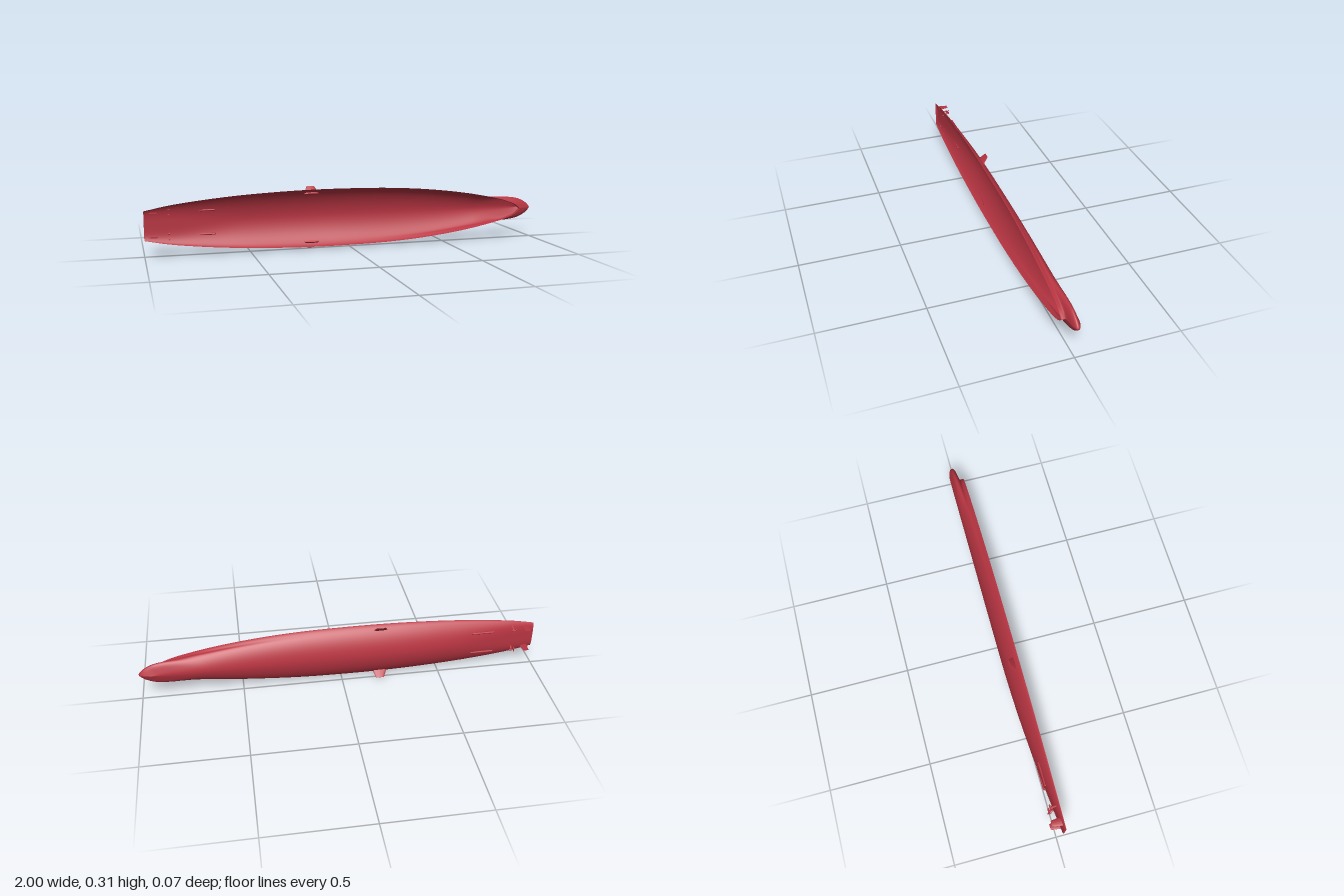
import * as THREE from 'three';

const MID = 0.156, DECK = 0.035;
const material = new THREE.MeshStandardMaterial({ color: 0xb83542, side: THREE.DoubleSide });

// Smooth 1D table lookup from [position, value] pairs
function table(pairs) {
  const f = new THREE.CubicInterpolant(pairs.map(p => p[0]), pairs.map(p => p[1]), 1);
  return x => f.evaluate(x)[0];
}
const halfBeam = table([[-1, 0.07], [-0.9, 0.09], [-0.8, 0.104], [-0.6, 0.124], [-0.4, 0.136], [-0.2, 0.142],
  [0, 0.142], [0.2, 0.137], [0.4, 0.123], [0.6, 0.098], [0.75, 0.07], [0.85, 0.044], [0.9, 0.022], [0.925, 0]]);
const keelZ = table([[-1, 0.024], [-0.9, 0.013], [-0.8, 0.002], [-0.7, -0.008], [-0.6, -0.017], [-0.4, -0.029],
  [-0.2, -0.035], [0, -0.036], [0.5, -0.036], [1, -0.036]]);
const bowX = table([[0, 0.925], [0.15, 0.925], [0.3, 0.93], [0.4, 0.973], [0.5, 0.993], [0.65, 1], [0.8, 0.992],
  [0.92, 0.97], [1, 0.94]]);

// Hull point: s runs stern to bow, a runs from one waterline over the keel to the other
function hullPoint(s, a) {
  const c = Math.max(0, Math.cos(a));
  const d = Math.pow(Math.abs(Math.sin(a)), 1.43);
  const x = -1 + s * (1 + bowX(d));
  const stern = 1 - THREE.MathUtils.smoothstep(x, -1, -0.5);
  let w = Math.max(0, halfBeam(-1 + s * 1.925)) * Math.pow(c, 1.1 - 0.55 * stern);
  const bulb = THREE.MathUtils.smoothstep(s, 0.84, 0.96) * Math.sqrt(Math.min(1, (1 - s) / 0.035));
  w += 0.024 * bulb * Math.exp(-(((d - 0.68) / 0.26) ** 2)) * Math.sqrt(Math.min(1, c * 2));
  return [x, w, DECK + (keelZ(x) - DECK) * d];
}

function hullGeometry() {
  const N = 120, M = 48, pos = [], idx = [];
  for (let i = 0; i <= N; i++) {
    const s = 1 - Math.pow(1 - i / N, 1.5);
    for (let j = 0; j <= M; j++) {
      const side = j <= M / 2 ? 1 : -1;
      const a = (1 - Math.abs(1 - 2 * j / M)) * Math.PI / 2;
      const [x, w, z] = hullPoint(s, a);
      pos.push(x, MID + side * w, z);
    }
  }
  for (let i = 0; i < N; i++) for (let j = 0; j < M; j++) {
    const p = i * (M + 1) + j, q = p + M + 1;
    idx.push(p, q, p + 1, q, q + 1, p + 1);
  }
  const g = new THREE.BufferGeometry();
  g.setAttribute('position', new THREE.Float32BufferAttribute(pos, 3));
  g.setIndex(idx);
  g.computeVertexNormals();
  return g;
}

// Flat plate closing the stern
function transomGeometry() {
  const pts = [];
  for (let j = 0; j <= 32; j++) {
    const [, w, z] = hullPoint(0, (1 - Math.abs(1 - j / 16)) * Math.PI / 2);
    pts.push(new THREE.Vector2(j <= 16 ? w : -w, z));
  }
  const g = new THREE.ShapeGeometry(new THREE.Shape(pts));
  // shape (x, y) becomes (y, z)
  return g.applyMatrix4(new THREE.Matrix4().set(0, 0, 1, -1, 1, 0, 0, MID, 0, 1, 0, 0, 0, 0, 0, 1));
}

// Tapered foil: root at the origin, span along -z, chord along x, thickness along y
function foilGeometry(root, tip, span, thick, shift = 0) {
  const g = new THREE.CylinderGeometry(0.5, 0.5, 1, 16, 1);
  g.rotateX(-Math.PI / 2);
  const p = g.attributes.position;
  for (let i = 0; i < p.count; i++) {
    const t = 0.5 - p.getZ(i), k = t * tip + (1 - t) * root;
    p.setXYZ(i, p.getX(i) * k + shift * t, p.getY(i) * thick * (1 - 0.3 * t), -t * span);
  }
  g.computeVertexNormals();
  return g;
}

export function createModel() {
  const model = new THREE.Group();
  model.name = 'shipUnderwaterHull';
  const add = (name, geometry, x, y, z, parent = model) => {
    const m = new THREE.Mesh(geometry, material);
    m.name = name;
    m.position.set(x, y, z);
    parent.add(m);
    return m;
  };
  add('hullShell', hullGeometry(), 0, 0, 0);
  add('transom', transomGeometry(), 0, 0, 0);

  for (const side of [1, -1]) {
    // Stabiliser fin, splayed outward at the bilge
    const fin = add('stabiliserFin', foilGeometry(0.075, 0.04, 0.046, 0.009), -0.195, MID + side * 0.118, 0.016);
    fin.rotation.x = side * 0.83;

    const y = MID + side * 0.058;
    add('rudder', foilGeometry(0.042, 0.028, 0.05, 0.008), -0.957, y, 0.027);

    // Shaft bossing faired into the hull bottom
    const shaft = add('shaftBossing', new THREE.CapsuleGeometry(0.005, 0.11, 6, 12), -0.725, y, -0.002);
    shaft.rotation.z = Math.PI / 2;

    // Propeller on its strut
    const prop = new THREE.Group();
    prop.name = 'propeller';
    prop.position.set(-0.885, y, -0.008);
    model.add(prop);
    const hub = add('hub', new THREE.CapsuleGeometry(0.004, 0.022, 4, 10), 0, 0, 0, prop);
    hub.rotation.z = Math.PI / 2;
    for (const tilt of [0.45, -0.45]) {
      const strut = add('strut', foilGeometry(0.009, 0.009, 0.035, 0.003), 0, 0, 0, prop);
      strut.rotation.x = Math.PI + tilt;
    }
    for (let k = 0; k < 4; k++) {
      const blade = add('blade', foilGeometry(0.004, 0.004, 0.012, 0.008), -0.01, 0, 0, prop);
      blade.rotation.x = k * Math.PI / 2 + Math.PI / 4;
    }
  }
  return model;
}
